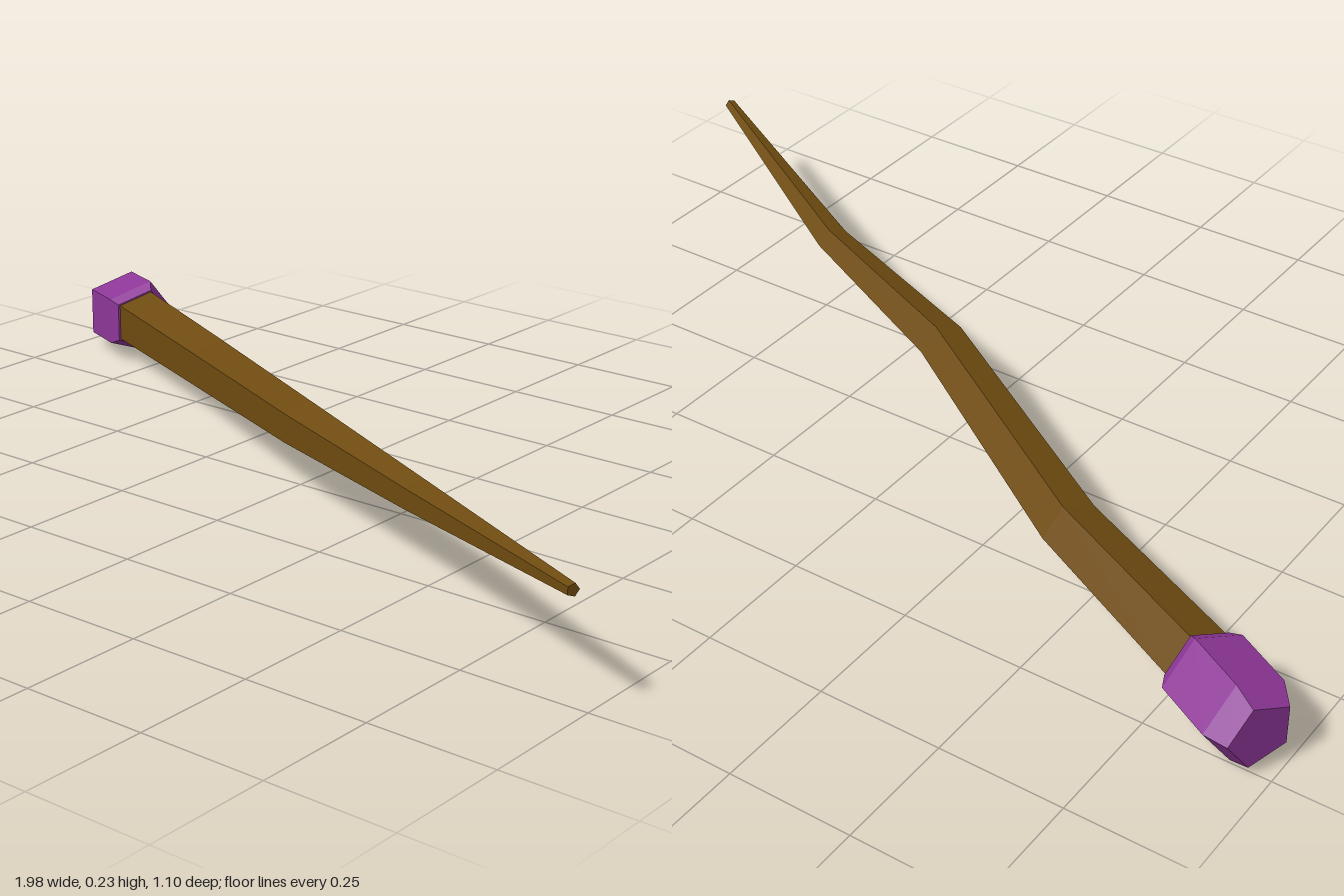
import * as THREE from 'three';

const SIDES = 5;
// Horizontal direction across the wand, towards its front face
const ACROSS = new THREE.Vector3(-0.45, 0, 0.893);

// Five-sided loft through stations [x, y, z, radius], closed at both ends
function loft(stations) {
  const positions = [];
  const index = [];
  stations.forEach(([x, y, z, r]) => {
    for (let i = 0; i < SIDES; i++) {
      const a = Math.PI + (i / SIDES) * Math.PI * 2;
      const w = r * Math.cos(a);
      positions.push(x + ACROSS.x * w, y + r * Math.sin(a), z + ACROSS.z * w);
    }
  });
  for (let s = 0; s < stations.length - 1; s++) {
    for (let i = 0; i < SIDES; i++) {
      const a = s * SIDES + i;
      const b = s * SIDES + ((i + 1) % SIDES);
      index.push(a, b, b + SIDES, a, b + SIDES, a + SIDES);
    }
  }
  const last = (stations.length - 1) * SIDES;
  for (let i = 1; i < SIDES - 1; i++) {
    index.push(0, i + 1, i);
    index.push(last, last + i, last + i + 1);
  }
  const geometry = new THREE.BufferGeometry();
  geometry.setAttribute('position', new THREE.Float32BufferAttribute(positions, 3));
  geometry.setIndex(index);
  const flat = geometry.toNonIndexed();
  flat.computeVertexNormals();
  return flat;
}

function part(name, stations, material) {
  const mesh = new THREE.Mesh(loft(stations), material);
  mesh.name = name;
  return mesh;
}

export function createModel() {
  const wood = new THREE.MeshStandardMaterial({ color: 0x6e4b10 });
  wood.name = 'brown wood';
  const purple = new THREE.MeshStandardMaterial({ color: 0x8e3798 });
  purple.name = 'purple';

  const wand = new THREE.Group();
  wand.name = 'wand';

  // Crooked tapering shaft, from the tip to the grip end
  wand.add(part('shaft', [
    [0.985, 0.22, 0.535, 0.012],
    [0.475, 0.167, 0.252, 0.034],
    [0.065, 0.159, 0.07, 0.05],
    [-0.428, 0.104, -0.227, 0.06],
    [-0.802, 0.095, -0.405, 0.067],
  ], wood));

  // Bevelled cap on the thick end
  wand.add(part('endCap', [
    [-0.8, 0.095, -0.403, 0.071],
    [-0.82, 0.093, -0.416, 0.088],
    [-0.93, 0.085, -0.47, 0.088],
    [-0.97, 0.084, -0.493, 0.067],
  ], purple));

  return wand;
}
